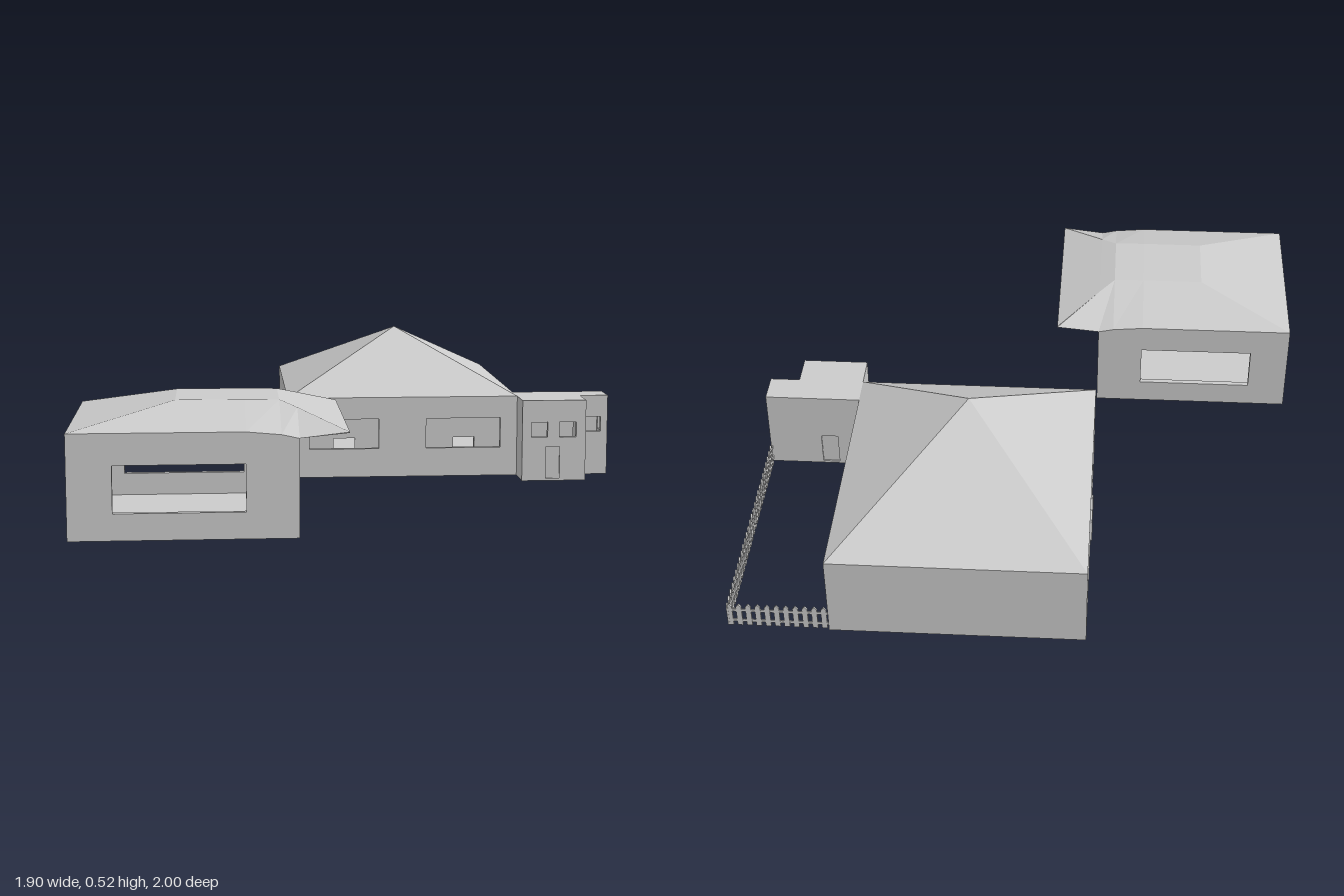
import * as THREE from 'three';

const T = 0.02; // wall thickness

export function createModel() {
  const root = new THREE.Group();
  const mat = new THREE.MeshStandardMaterial({ color: 0xcccccc, flatShading: true, side: THREE.DoubleSide });

  const add = (parent, name, geo) => {
    const m = new THREE.Mesh(geo, mat);
    m.name = name;
    parent.add(m);
    return m;
  };
  const group = (name) => {
    const g = new THREE.Group();
    g.name = name;
    root.add(g);
    return g;
  };
  // box given by its limits on each axis
  const box = (parent, name, x0, x1, y0, y1, z0, z1) =>
    add(parent, name, new THREE.BoxGeometry(x1 - x0, y1 - y0, z1 - z0))
      .position.set((x0 + x1) / 2, (y0 + y1) / 2, (z0 + z1) / 2);

  const polygon = (pts) => new THREE.Shape(pts.map(([x, y]) => new THREE.Vector2(x, y)));
  const rect = (a, b, y0, y1) => [[a, y0], [b, y0], [b, y1], [a, y1]];
  const panel = (outline, holes, sign) => {
    const flip = (pts) => pts.map(([a, y]) => [a * sign, y]);
    const s = polygon(flip(outline));
    for (const h of holes) s.holes.push(polygon(flip(rect(...h))));
    return new THREE.ExtrudeGeometry(s, { depth: T, bevelEnabled: false });
  };
  // wall running along x; z is its back plane, holes are [x0, x1, y0, y1]
  const wallX = (parent, name, outline, z, holes = []) =>
    add(parent, name, panel(outline, holes, 1)).position.z = z;
  // wall running along z; x is its left plane, holes are [z0, z1, y0, y1]
  const wallZ = (parent, name, outline, x, holes = []) => {
    const m = add(parent, name, panel(outline, holes, -1));
    m.rotation.y = Math.PI / 2;
    m.position.x = x;
  };

  // roof lofted along x; each station is [x, eaveY, topY, front, frontTop, backTop, back]
  const roof = (parent, name, stations) => {
    const rings = stations.map(([x, e, t, f, ft, bt, b]) => [[x, e, f], [x, t, ft], [x, t, bt], [x, e, b]]);
    const pos = [];
    for (let i = 0; i < rings.length - 1; i++) {
      for (let j = 0; j < 4; j++) {
        const k = (j + 1) % 4;
        const [a, b, c, d] = [rings[i][j], rings[i + 1][j], rings[i + 1][k], rings[i][k]];
        pos.push(...a, ...b, ...c, ...a, ...c, ...d);
      }
    }
    const g = new THREE.BufferGeometry();
    g.setAttribute('position', new THREE.Float32BufferAttribute(pos, 3));
    g.computeVertexNormals();
    add(parent, name, g);
  };

  // ---- open-sided garage ----
  const garage = group('garage');
  const gx0 = -0.95, gx1 = -0.235, gz0 = 0.3, gz1 = 1;
  const gableTop = [[gx0, 0.005], [gx1, 0.005], [gx1, 0.318], [-0.29, 0.33], [-0.4, 0.34], [gx0, 0.34]];
  const gWindow = [[-0.81, -0.4, 0.09, 0.24]];
  wallX(garage, 'garageFrontWall', gableTop, gz1 - T, gWindow);
  wallX(garage, 'garageBackWall', gableTop, gz0, gWindow);
  wallZ(garage, 'garageLeftWall', rect(gz0 + T, gz1 - T, 0.005, 0.34), gx0);
  wallZ(garage, 'garageEntryWall', rect(gz0 + T, gz1 - T, 0.005, 0.318), gx1 - T, [[0.44, 0.86, 0.015, 0.24]]);
  box(garage, 'garageFloor', gx0 + T, gx1 - T, 0.005, 0.015, gz0 + T, gz1 - T);
  roof(garage, 'garageRoof', [
    [-0.95, 0.34, 0.34, 1, 1, 0.3, 0.3],
    [-0.62, 0.34, 0.41, 1, 0.78, 0.52, 0.3],
    [-0.4, 0.34, 0.41, 1, 0.78, 0.52, 0.3],
    [-0.29, 0.33, 0.408, 1, 0.78, 0.52, 0.3],
    [-0.235, 0.318, 0.39, 1, 0.835, 0.465, 0.3],
    [-0.08, 0.333, 0.336, 1, 1, 0.3, 0.3],
  ]);

  // ---- main house ----
  const house = group('house');
  const hx0 = -0.235, hx1 = 0.612, hz0 = -1, hz1 = -0.03, H = 0.295;
  wallX(house, 'houseFrontWall', rect(hx0, hx1, 0, H), hz1 - T,
    [[-0.155, 0.1, 0.105, 0.215], [0.275, 0.55, 0.105, 0.215]]);
  wallX(house, 'houseBackWall', rect(hx0, hx1, 0, H), hz0);
  wallZ(house, 'houseRightWall', rect(hz0 + T, hz1 - T, 0, H), hx0,
    [[-0.31, -0.21, 0.06, 0.14], [-0.56, -0.45, 0.06, 0.14]]);
  wallZ(house, 'houseLeftWall', rect(hz0 + T, hz1 - T, 0, H), hx1 - T,
    [[-0.32, -0.19, 0.06, 0.14], [-0.56, -0.45, 0.06, 0.14]]);
  // inner wall with two doorways behind the front windows
  wallX(house, 'corridorWall', rect(hx0 + T, hx1 - T, 0.01, H), -0.17,
    [[-0.06, 0.02, 0.011, 0.125], [0.39, 0.47, 0.011, 0.125]]);
  box(house, 'houseFloor', hx0 + T, hx1 - T, 0, 0.01, hz0 + T, hz1 - T);
  roof(house, 'houseRoof', [
    [hx0, H, H, hz1, hz1, hz0, hz0],
    [0.19, H, 0.52, hz1, -0.4, -0.4, hz0],
    [hx1, H, H, hz1, hz1, hz0, hz0],
  ]);

  // slatted shutter on the right wall
  const shutter = group('shutter');
  for (const z of [-0.57, -0.45]) box(shutter, 'shutterStile', hx0 - 0.006, hx0 + 0.004, 0.05, 0.145, z, z + 0.01);
  for (let i = 0; i < 6; i++) {
    const y = 0.052 + i * 0.0165;
    box(shutter, 'shutterSlat', hx0 - 0.005, hx0 + 0.003, y, y + 0.008, -0.56, -0.45);
  }

  // ---- L-shaped entrance block ----
  const porch = group('entranceBlock');
  const px0 = hx1, px1 = 0.845, px2 = 0.95, pz0 = -0.14, pz1 = 0.09;
  const door = [0.7, 0.75, 0.002, 0.125];
  wallX(porch, 'entranceFrontWall', rect(px0, px1, 0, H), pz1 - T,
    [[0.645, 0.705, 0.16, 0.215], [0.748, 0.81, 0.16, 0.215], door]);
  wallX(porch, 'entranceWingFrontWall', rect(px1, px2, 0, H), hz1 - T, [[0.865, 0.925, 0.16, 0.215]]);
  wallX(porch, 'entranceBackWall', rect(px0, px2, 0, H), pz0, [[0.7, 0.76, 0.002, 0.125]]);
  wallZ(porch, 'entranceWingSideWall', rect(pz0 + T, hz1 - T, 0, H), px2 - T, [[-0.11, -0.055, 0.16, 0.27]]);
  wallZ(porch, 'entranceSideWall', rect(hz1 - T, pz1 - T, 0, H), px1 - T);
  wallZ(porch, 'entranceInnerWall', rect(hz1, pz1 - T, 0, H), px0);
  box(porch, 'frontDoor', 0.7, 0.75, 0, 0.125, pz1 - 0.014, pz1 - 0.006);
  box(porch, 'backDoor', 0.7, 0.76, 0, 0.125, pz0 + 0.006, pz0 + 0.014);
  for (const [name, y0, y1] of [['entranceFloor', 0, 0.008], ['entranceRoof', H - 0.01, H]]) {
    box(porch, name, px0, px1, y0, y1, pz0, pz1);
    box(porch, name, px1, px2, y0, y1, pz0, hz1);
  }

  // ---- picket fence ----
  const fence = group('fence');
  const picketShape = polygon([[-0.009, 0], [0.009, 0], [0.009, 0.08], [0, 0.092], [-0.009, 0.08]]);
  const picketGeo = new THREE.ExtrudeGeometry(picketShape, { depth: 0.006, bevelEnabled: false });
  picketGeo.translate(0, 0, -0.003);
  const fz = -0.99, fx = 0.946;
  for (let i = 0; i < 27; i++) {
    const p = add(fence, 'sidePicket', picketGeo);
    p.position.set(fx, 0, fz + 0.005 + i * 0.0315);
    p.rotation.y = Math.PI / 2;
  }
  for (let i = 0; i < 11; i++) add(fence, 'backPicket', picketGeo).position.set(0.627 + i * 0.0312, 0, fz);
  for (const y of [0.015, 0.06]) {
    box(fence, 'sideRail', fx - 0.002, fx + 0.002, y, y + 0.01, fz, pz0);
    box(fence, 'backRail', hx1, fx, y, y + 0.01, fz - 0.002, fz + 0.002);
  }

  return root;
}
